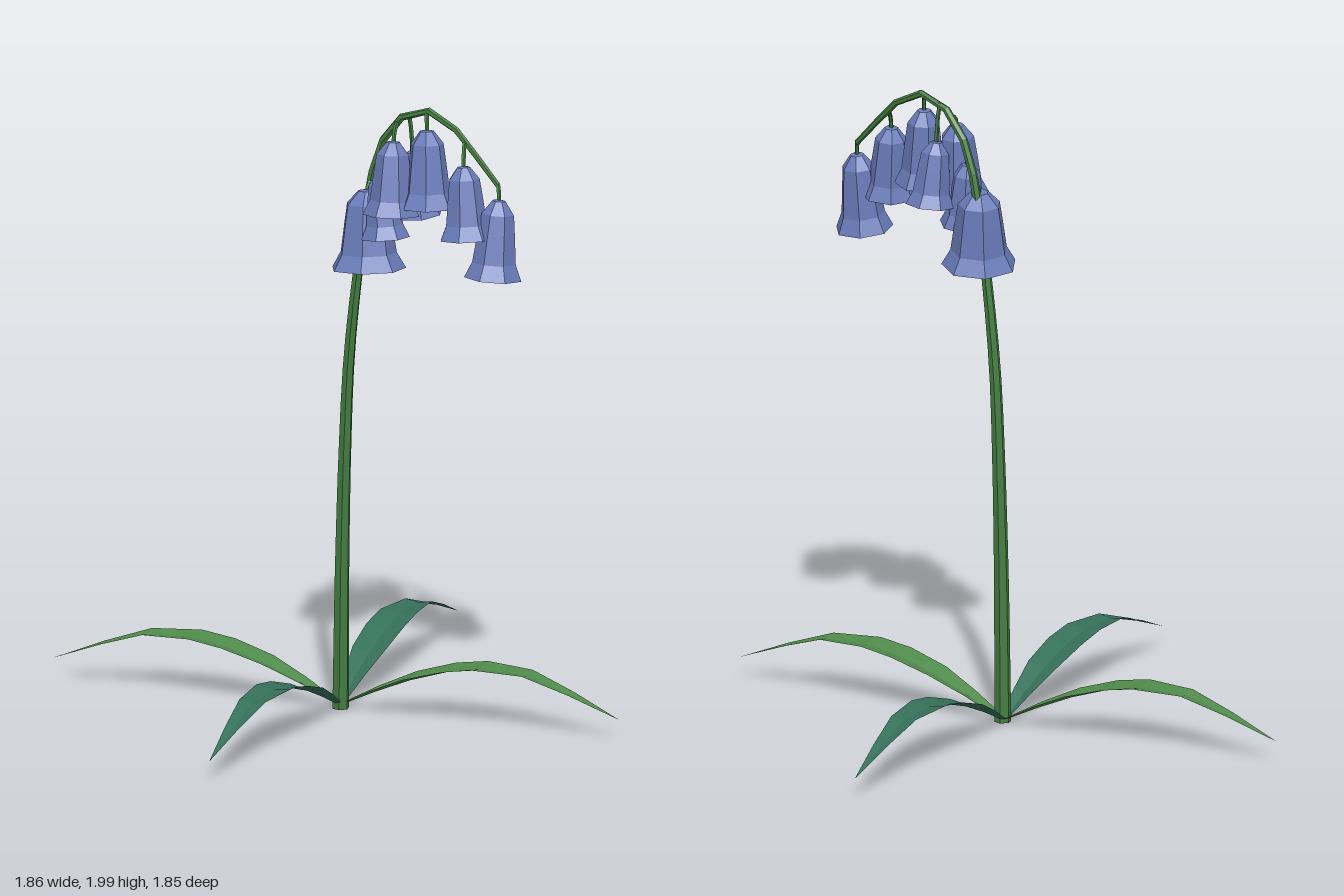
import * as THREE from 'three';

const mat = (name, color, side = THREE.FrontSide) => {
  const m = new THREE.MeshStandardMaterial({ color, side, flatShading: true });
  m.name = name;
  return m;
};

const V = (x, y, z) => new THREE.Vector3(x, y, z);

// Tube along a curve whose radius runs from r0 at the start to r1 at the end
function taperedTube(curve, segments, sides, r0, r1) {
  const geo = new THREE.TubeGeometry(curve, segments, 1, sides);
  const pos = geo.attributes.position;
  const p = V(0, 0, 0);
  for (let i = 0; i < pos.count; i++) {
    const t = Math.floor(i / (sides + 1)) / segments;
    const c = curve.getPointAt(t);
    p.fromBufferAttribute(pos, i).sub(c).multiplyScalar(r0 + (r1 - r0) * t).add(c);
    pos.setXYZ(i, p.x, p.y, p.z);
  }
  geo.computeVertexNormals();
  return geo;
}

// Arching, V-folded blade along +x: rows of [distance, height, half width, fold depth]
function leafGeometry() {
  const rows = [
    [0, 0.01, 0.012, 0.004], [0.12, 0.075, 0.035, 0.012], [0.24, 0.13, 0.056, 0.016],
    [0.37, 0.17, 0.063, 0.014], [0.48, 0.188, 0.061, 0.01], [0.64, 0.182, 0.044, 0.008],
    [0.79, 0.132, 0.024, 0.005], [0.95, 0.068, 0.001, 0],
  ];
  const verts = [], index = [];
  rows.forEach(([x, y, w, d], i) => {
    verts.push(x, y, -w, x, y - d, 0, x, y, w);
    if (i === 0) return;
    const a = (i - 1) * 3, b = i * 3;
    for (const k of [0, 1]) index.push(a + k, a + k + 1, b + k, a + k + 1, b + k + 1, b + k);
  });
  const geo = new THREE.BufferGeometry();
  geo.setAttribute('position', new THREE.Float32BufferAttribute(verts, 3));
  geo.setIndex(index);
  geo.computeVertexNormals();
  return geo;
}

export function createModel() {
  const group = new THREE.Group();
  const stemGreen = mat('stem green', 0x437c40);
  const leafGreen = mat('leaf green', 0x4f8a4a, THREE.DoubleSide);
  const leafTeal = mat('leaf teal', 0x35705a, THREE.DoubleSide);
  const petalBlue = mat('petal blue', 0x6a7cba, THREE.DoubleSide);

  const add = (name, geo, material, parent = group) => {
    const mesh = new THREE.Mesh(geo, material);
    mesh.name = name;
    parent.add(mesh);
    return mesh;
  };

  // Stem with its drooping arch
  const stemCurve = new THREE.CatmullRomCurve3([
    V(0.005, 0, 0.008), V(0.01, 0.45, 0.01), V(0.02, 0.85, 0.013), V(0.035, 1.15, 0.02),
    V(0.068, 1.45, 0.035), V(0.105, 1.7, 0.05), V(0.15, 1.86, 0.068), V(0.27, 1.982, 0.118),
    V(0.385, 1.945, 0.16), V(0.465, 1.865, 0.19), V(0.545, 1.775, 0.22),
  ]);
  add('stem', taperedTube(stemCurve, 22, 6, 0.027, 0.009), stemGreen);

  // Four basal leaves, alternating colours
  const leaf = leafGeometry();
  [13.3, 104.5, 189.8, 282].forEach((deg, i) => {
    const m = add('leaf' + (i + 1), leaf, i % 2 ? leafTeal : leafGreen);
    m.rotation.y = -THREE.MathUtils.degToRad(deg);
  });

  // Bell profile hanging down from its top at the origin
  const profile = [[0, 0], [0.022, -0.004], [0.052, -0.045], [0.06, -0.11], [0.07, -0.2], [0.092, -0.25]];
  const bell = new THREE.LatheGeometry(profile.map(([r, y]) => new THREE.Vector2(r, y)), 7);

  // Bells: top position, scale across, scale down, tilt about x and z, arch attachment
  const bells = [
    [0.1, 1.7, 0.07, 1.3, 1.0, -0.1, 0.03, [0.115, 1.73, 0.055]],
    [0.155, 1.77, 0.12, 0.85, 0.82, -0.1, 0.08, [0.135, 1.82, 0.062]],
    [0.2, 1.885, 0.155, 1.0, 0.93, -0.12, 0, [0.2, 1.93, 0.09]],
    [0.25, 1.84, 0.1, 0.85, 0.82, 0.08, 0.08, [0.24, 1.965, 0.106]],
    [0.305, 1.925, 0.15, 1.0, 0.98, -0.08, 0.03, [0.3, 1.98, 0.13]],
    [0.435, 1.835, 0.225, 0.95, 0.92, -0.1, 0.06, [0.43, 1.9, 0.178]],
    [0.55, 1.735, 0.235, 1.0, 1.0, -0.1, -0.06, [0.543, 1.78, 0.219]],
  ];
  bells.forEach(([x, y, z, w, h, tx, tz, from], i) => {
    const m = add('bellFlower' + (i + 1), bell, petalBlue);
    m.position.set(x, y, z);
    m.scale.set(w, h, w);
    m.rotation.set(tx, i * 0.7, tz, 'XZY');
    // Short stalk joining the bell to the arch
    const a = V(...from), b = V(x, y - 0.01, z);
    const mid = V(b.x, (a.y + b.y) / 2 + 0.01, b.z);
    const curve = new THREE.QuadraticBezierCurve3(a, mid, b);
    add('bellStalk' + (i + 1), new THREE.TubeGeometry(curve, 3, 0.007, 5), stemGreen);
  });

  return group;
}
